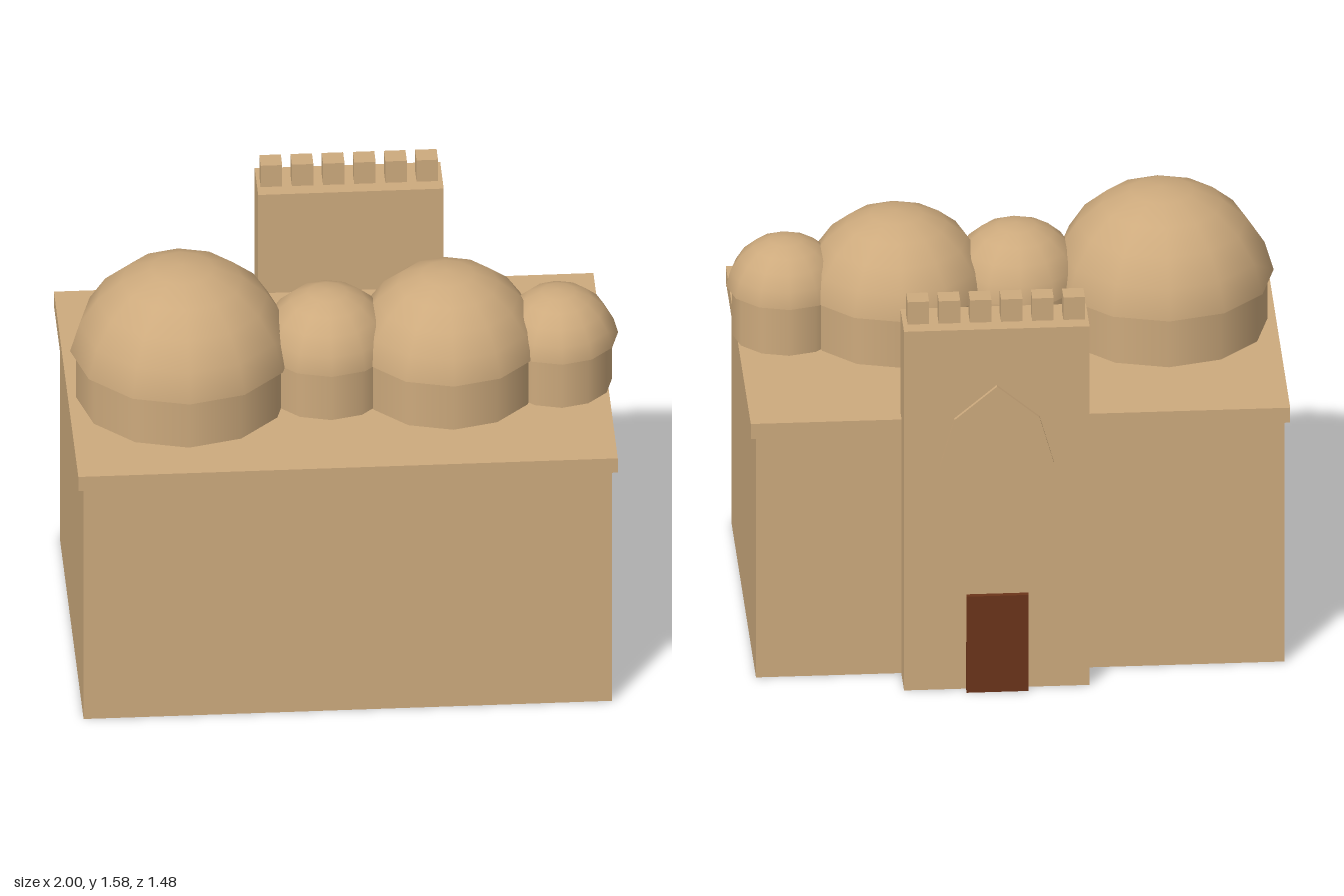
import * as THREE from 'three';

export function createModel() {
  const sand = new THREE.MeshStandardMaterial({ color: 0xcdaa7d });
  sand.name = 'sandstone';
  const wood = new THREE.MeshStandardMaterial({ color: 0x6b341a });
  wood.name = 'door wood';
  const model = new THREE.Group();
  model.name = 'domedBuilding';

  const add = (name, geometry, material = sand, parent = model) => {
    const mesh = new THREE.Mesh(geometry, material);
    mesh.name = name;
    parent.add(mesh);
    return mesh;
  };
  // Box given by its minimum and maximum on each axis
  const box = (name, x0, x1, y0, y1, z0, z1, material, parent) =>
    add(name, new THREE.BoxGeometry(x1 - x0, y1 - y0, z1 - z0), material, parent)
      .position.set((x0 + x1) / 2, (y0 + y1) / 2, (z0 + z1) / 2);

  // Main hall and its overhanging roof slab
  box('hall', -0.98, 0.94, 0, 0.97, -0.56, 0.725);
  box('roofSlab', -1, 0.96, 0.97, 1.03, -0.577, 0.738);

  // Row of domes on drums: centre x, rim radius, dome height
  const sides = 12, roofY = 1.03, rimY = 1.225;
  const domes = [
    [-0.585, 0.407, 0.35],
    [-0.057, 0.247, 0.222],
    [0.38, 0.345, 0.285],
    [0.782, 0.217, 0.19],
  ];
  for (const [x, r, h] of domes) {
    const unit = new THREE.Group();
    unit.name = 'domeTower';
    unit.position.set(x, 0, 0.173);
    model.add(unit);

    const drumR = r - 0.022;
    add('drum', new THREE.CylinderGeometry(drumR, drumR, rimY - roofY, sides, 1, true)
      .rotateY(Math.PI / 2), sand, unit).position.y = (roofY + rimY) / 2;

    // Spherical cap through the rim and the crown
    const R = (r * r + h * h) / (2 * h);
    const cap = new THREE.SphereGeometry(R, sides, 5, 0, Math.PI * 2, 0, Math.asin(r / R));
    add('dome', cap, sand, unit).position.y = rimY + h - R;

    // Underside of the overhanging rim
    const rim = new THREE.RingGeometry(drumR - 0.01, r, sides, 1).rotateX(Math.PI / 2);
    add('domeRim', rim, sand, unit).position.y = rimY;
  }

  // Gate tower at the back
  const gate = new THREE.Group();
  gate.name = 'gateTower';
  model.add(gate);
  box('tower', -0.262, 0.412, 0, 1.445, -0.705, -0.515, sand, gate);
  for (let i = 0; i < 6; i++) {
    const x = -0.21 + i * 0.1132;
    box('merlon', x - 0.039, x + 0.039, 1.445, 1.535, -0.646, -0.57, sand, gate);
  }

  // Raised pointed-arch panel
  const arch = new THREE.Shape([
    [-0.207, 0.195], [0.207, 0.195], [0.207, 0.905], [0.155, 1.09],
    [0, 1.22], [-0.155, 1.09], [-0.207, 0.905],
  ].map(([x, y]) => new THREE.Vector2(x, y)));
  add('archPanel', new THREE.ExtrudeGeometry(arch, { depth: 0.02, bevelEnabled: false }), sand, gate)
    .position.set(0.075, 0, -0.72);

  // Wooden door
  box('door', -0.038, 0.187, 0, 0.387, -0.74, -0.7, wood, gate);

  return model;
}
